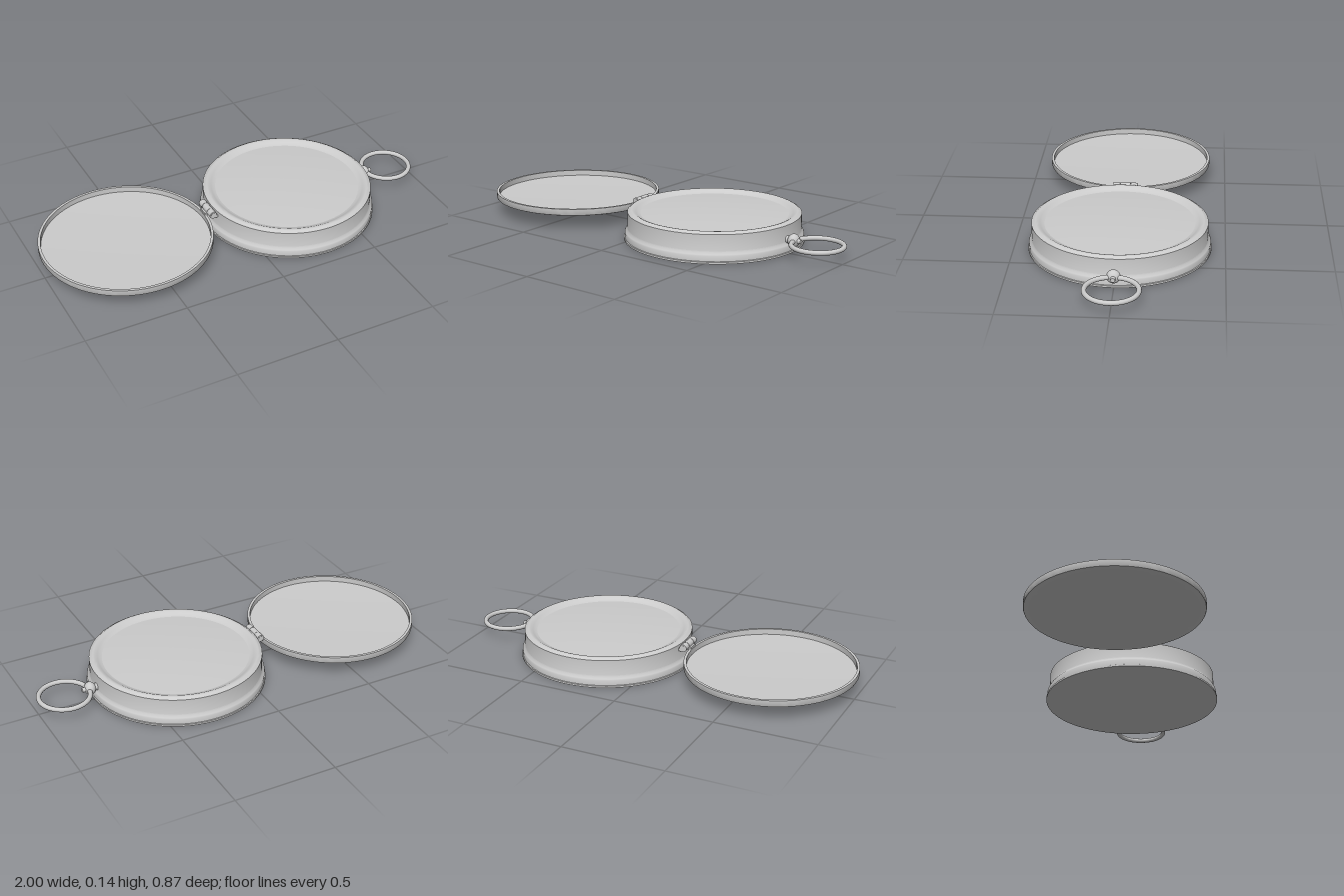
import * as THREE from 'three';
import { toCreasedNormals } from 'three/addons/utils/BufferGeometryUtils.js';

const material = new THREE.MeshStandardMaterial({ color: 0xcccccc });

function add(parent, name, geometry, x = 0, y = 0, z = 0) {
  const mesh = new THREE.Mesh(geometry, material);
  mesh.name = name;
  mesh.position.set(x, y, z);
  parent.add(mesh);
  return mesh;
}

// Round part turned about the y axis; profile runs bottom to top on the outside
function turned(profile, segments = 96) {
  const points = profile.map(([r, y]) => new THREE.Vector2(r, y));
  return toCreasedNormals(new THREE.LatheGeometry(points, segments), 0.5);
}

// Shallow dome between the axis and an edge radius
function dome(radius, yEdge, yCentre, steps = 8) {
  return Array.from({ length: steps + 1 }, (_, i) => {
    const t = 1 - i / steps;
    return [radius * t, yCentre + (yEdge - yCentre) * t * t];
  });
}

export function createModel() {
  const model = new THREE.Group();
  model.name = 'pocketCase';
  const bodyX = 0.287, coverX = -0.583, ringY = 0.066;

  // Case body: foot flange, sloped shoulder, wall, bezel dipping to the lens
  add(model, 'caseBody', turned([
    [0, 0], [0.434, 0], [0.434, 0.009], [0.43, 0.011], [0.43, 0.036],
    [0.427, 0.042], [0.418, 0.052], [0.417, 0.056], [0.417, 0.134],
    [0.411, 0.136], [0.404, 0.142], [0.397, 0.144], [0.388, 0.142],
    [0.376, 0.135], [0.366, 0.129], [0.355, 0.126],
  ]), bodyX);
  add(model, 'lens', turned(dome(0.356, 0.126, 0.138)), bodyX);

  // Open cover: bowed underside, low rim and recessed floor
  add(model, 'cover', turned([
    ...dome(0.408, 0.073, 0.064).reverse(),
    [0.415, 0.076], [0.417, 0.08], [0.417, 0.107], [0.404, 0.107],
    ...dome(0.404, 0.079, 0.073),
  ]), coverX);

  // Hinge: three knuckles on a pin, with leaves to the cover and body
  const hinge = new THREE.Group();
  hinge.name = 'hinge';
  hinge.position.set(-0.149, 0.121, 0);
  model.add(hinge);
  for (const [z, length] of [[-0.044, 0.034], [0, 0.05], [0.044, 0.034]]) {
    add(hinge, 'hingeKnuckle', new THREE.CylinderGeometry(0.018, 0.018, length, 24), 0, 0, z)
      .rotation.x = Math.PI / 2;
    const side = z === 0 ? -1 : 1;
    add(hinge, 'hingeLeaf', new THREE.BoxGeometry(0.026, 0.014, length), side * 0.014, -0.011, z);
  }
  add(hinge, 'hingePin', new THREE.CylinderGeometry(0.012, 0.012, 0.124, 16)).rotation.x = Math.PI / 2;

  // Pendant: collar, ball and end pin pointing along +x
  const pendant = new THREE.Group();
  pendant.name = 'pendant';
  pendant.position.set(0.738, ringY, 0);
  model.add(pendant);
  add(pendant, 'ball', new THREE.SphereGeometry(0.032, 32, 20)).scale.x = 0.85;
  add(pendant, 'collar', new THREE.CylinderGeometry(0.015, 0.02, 0.04, 24), -0.03).rotation.z = -Math.PI / 2;
  add(pendant, 'endPin', new THREE.CylinderGeometry(0.01, 0.014, 0.024, 20), 0.028).rotation.z = -Math.PI / 2;

  // Bow ring lying flat through the pendant
  add(model, 'bowRing', new THREE.TorusGeometry(0.121, 0.0115, 16, 72), 0.867, ringY)
    .rotation.x = Math.PI / 2;

  return model;
}
